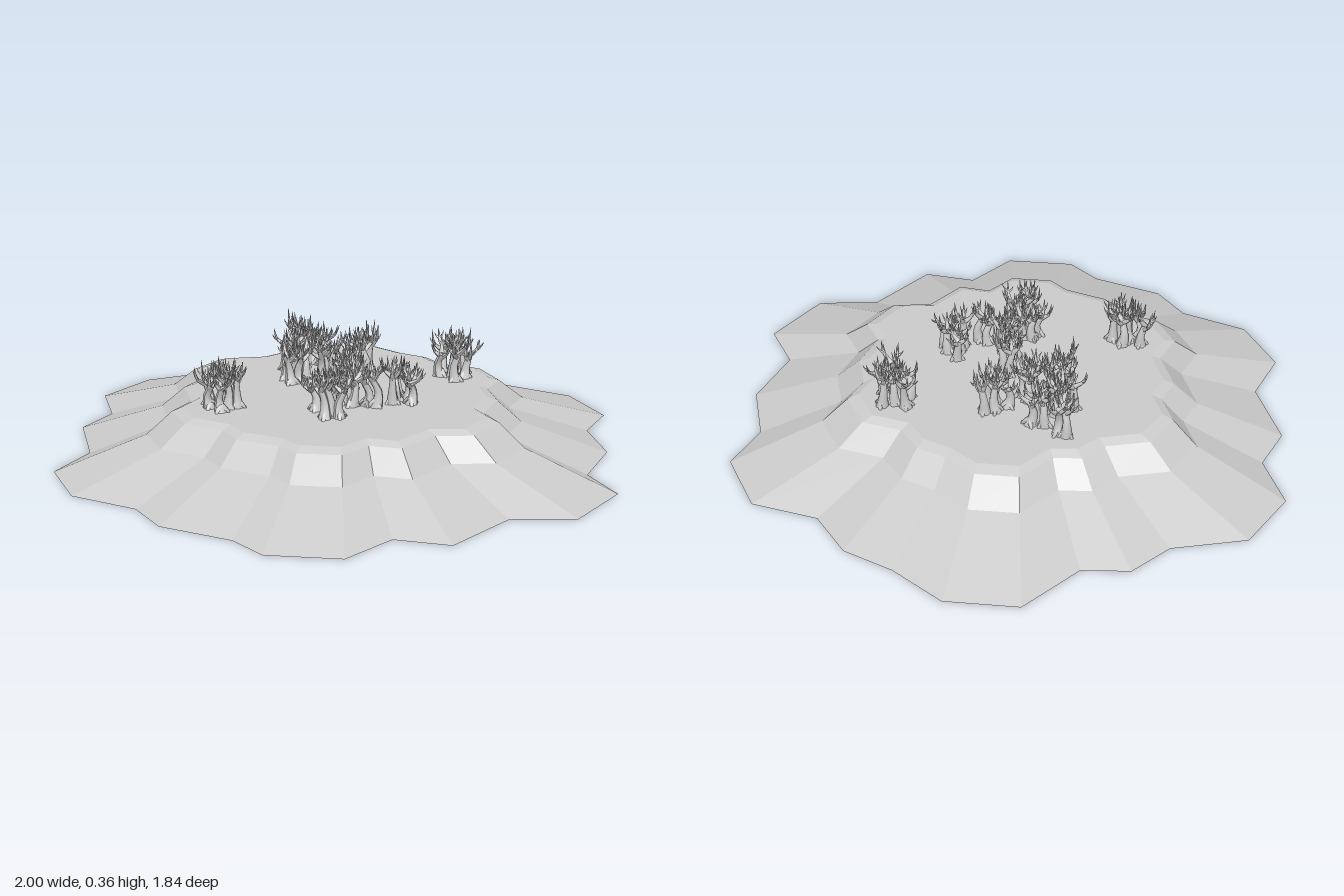
import * as THREE from 'three';
import { mergeGeometries } from 'three/addons/utils/BufferGeometryUtils.js';

const grey = (options = {}) => new THREE.MeshStandardMaterial({ color: 0xcccccc, side: THREE.DoubleSide, ...options });

// Small seeded generator
function makeRandom(seed) {
  return () => {
    seed = (seed * 1664525 + 1013904223) % 4294967296;
    return seed / 4294967296;
  };
}

// Lobed shoreline of the mound, as x, z pairs
const shore = [
  [0, -0.92], [0.17, -0.85], [0.39, -0.92], [0.6, -0.8], [0.63, -0.62], [0.79, -0.47],
  [0.84, -0.24], [1, -0.15], [1, 0.11], [0.83, 0.24], [0.8, 0.51], [0.63, 0.58],
  [0.6, 0.78], [0.39, 0.9], [0.25, 0.87], [0, 0.92], [-0.15, 0.86], [-0.39, 0.9],
  [-0.59, 0.78], [-0.62, 0.58], [-0.82, 0.41], [-0.84, 0.24], [-1, 0.11], [-1, -0.13],
  [-0.82, -0.31], [-0.78, -0.47], [-0.65, -0.56], [-0.6, -0.8], [-0.39, -0.92], [-0.18, -0.9],
];

// Mound steps: scale of the shoreline and height
const steps = [[1, 0], [0.68, 0.1], [0.59, 0.172], [0.55, 0.185], [0, 0.185]];

// Open shell of scaled rings, closed at the middle of its flat top
function moundGeometry() {
  const positions = [], index = [], n = shore.length;
  for (const [s, y] of steps) for (const [x, z] of shore) positions.push(x * s, y, z * s);
  for (let k = 0; k < steps.length - 1; k++) {
    for (let i = 0; i < n; i++) {
      const a = k * n + i, b = k * n + (i + 1) % n;
      index.push(a, a + n, b);
      if (k < steps.length - 2) index.push(b, a + n, b + n);
    }
  }
  const geometry = new THREE.BufferGeometry();
  geometry.setAttribute('position', new THREE.Float32BufferAttribute(positions, 3));
  geometry.setIndex(index);
  geometry.computeVertexNormals();
  return geometry;
}

// Tube along points whose radius follows radiusAt(t)
function taperedTube(points, segments, sides, radiusAt) {
  const curve = new THREE.CatmullRomCurve3(points);
  const geometry = new THREE.TubeGeometry(curve, segments, 1, sides);
  const position = geometry.attributes.position, v = new THREE.Vector3();
  for (let i = 0; i <= segments; i++) {
    const centre = curve.getPointAt(i / segments), r = radiusAt(i / segments);
    for (let j = 0; j <= sides; j++) {
      const k = i * (sides + 1) + j;
      v.fromBufferAttribute(position, k).sub(centre).multiplyScalar(r).add(centre);
      position.setXYZ(k, v.x, v.y, v.z);
    }
  }
  geometry.computeVertexNormals();
  return geometry;
}

// One gnarled stalk: flared trunk, curved branches and pointed twigs
function stalkGeometry(x, z, height, random) {
  const jitter = (a) => (random() * 2 - 1) * a;
  const at = (px, py, pz) => new THREE.Vector3(px, py, pz);
  const parts = [];
  const base = at(x, 0.172, z);
  const knee = at(x + jitter(0.01), 0.185 + height * 0.28, z + jitter(0.01));
  const fork = at(x + jitter(0.014), 0.185 + height * 0.55, z + jitter(0.014));
  parts.push(taperedTube([base, knee, fork], 5, 7, (t) => 0.011 + 0.014 * (1 - t) ** 2));

  const count = 3 + Math.floor(random() * 2), turn = random() * 6.28;
  for (let i = 0; i < count; i++) {
    const angle = turn + i * 2 * Math.PI / count + jitter(0.4);
    const reach = 0.022 + random() * 0.022, rise = height * (0.3 + random() * 0.15);
    const dx = Math.cos(angle) * reach, dz = Math.sin(angle) * reach;
    const start = fork.clone().lerp(knee, random() * 0.45);
    const elbow = at(start.x + dx * 0.75, start.y + rise * 0.4, start.z + dz * 0.75);
    const tip = at(start.x + dx, fork.y + rise, start.z + dz);
    parts.push(taperedTube([start, elbow, tip], 5, 5, (t) => 0.0095 * (1 - t) + 0.0006));
    for (const side of [-1, 1]) {
      const a = angle + side * (0.7 + random() * 0.5), r = 0.014 + random() * 0.012;
      const end = at(elbow.x + Math.cos(a) * r, elbow.y + height * (0.1 + random() * 0.12), elbow.z + Math.sin(a) * r);
      const middle = elbow.clone().lerp(end, 0.6);
      middle.y -= 0.005;
      parts.push(taperedTube([elbow, middle, end], 3, 4, (t) => 0.0055 * (1 - t) + 0.0005));
    }
  }
  // Root toes
  for (let i = 0; i < 3; i++) {
    const a = turn + i * 2.1, r = 0.03;
    parts.push(taperedTube(
      [at(x, 0.205, z), at(x + Math.cos(a) * r * 0.6, 0.193, z + Math.sin(a) * r * 0.6), at(x + Math.cos(a) * r, 0.176, z + Math.sin(a) * r)],
      3, 5, (t) => 0.012 - 0.008 * t));
  }
  return mergeGeometries(parts);
}

// Clumps: x, z, spread, number of stalks
const clumps = [
  [0.22, -0.39, 0.07, 7], [-0.22, 0.36, 0.06, 7],
  [-0.35, -0.22, 0.025, 2], [-0.25, -0.22, 0.035, 3], [-0.08, -0.23, 0.05, 5],
  [-0.27, -0.11, 0.045, 4], [-0.2, -0.02, 0.05, 5], [-0.13, -0.11, 0.045, 4],
  [0.01, -0.03, 0.04, 4], [0.09, 0.07, 0.045, 4], [0.22, -0.05, 0.055, 5],
  [0.17, 0.06, 0.03, 2], [0.06, 0.17, 0.035, 3], [0.14, 0.22, 0.04, 4],
];

export function createModel() {
  const model = new THREE.Group();
  const random = makeRandom(17);

  const mound = new THREE.Mesh(moundGeometry(), grey({ flatShading: true }));
  mound.name = 'mound';
  model.add(mound);

  const plantMaterial = grey();
  clumps.forEach(([cx, cz, spread, count]) => {
    const clump = new THREE.Group();
    clump.name = 'branchingClump';
    const turn = random() * 6.28;
    for (let i = 0; i < count; i++) {
      // Golden-angle scatter keeps the stalks apart
      const a = turn + i * 2.4, r = spread * Math.sqrt((i + 0.3) / count);
      const height = 0.14 + random() * 0.045;
      const stalk = new THREE.Mesh(
        stalkGeometry(cx + Math.cos(a) * r, cz + Math.sin(a) * r, height, random), plantMaterial);
      stalk.name = 'stalk';
      clump.add(stalk);
    }
    model.add(clump);
  });

  return model;
}
